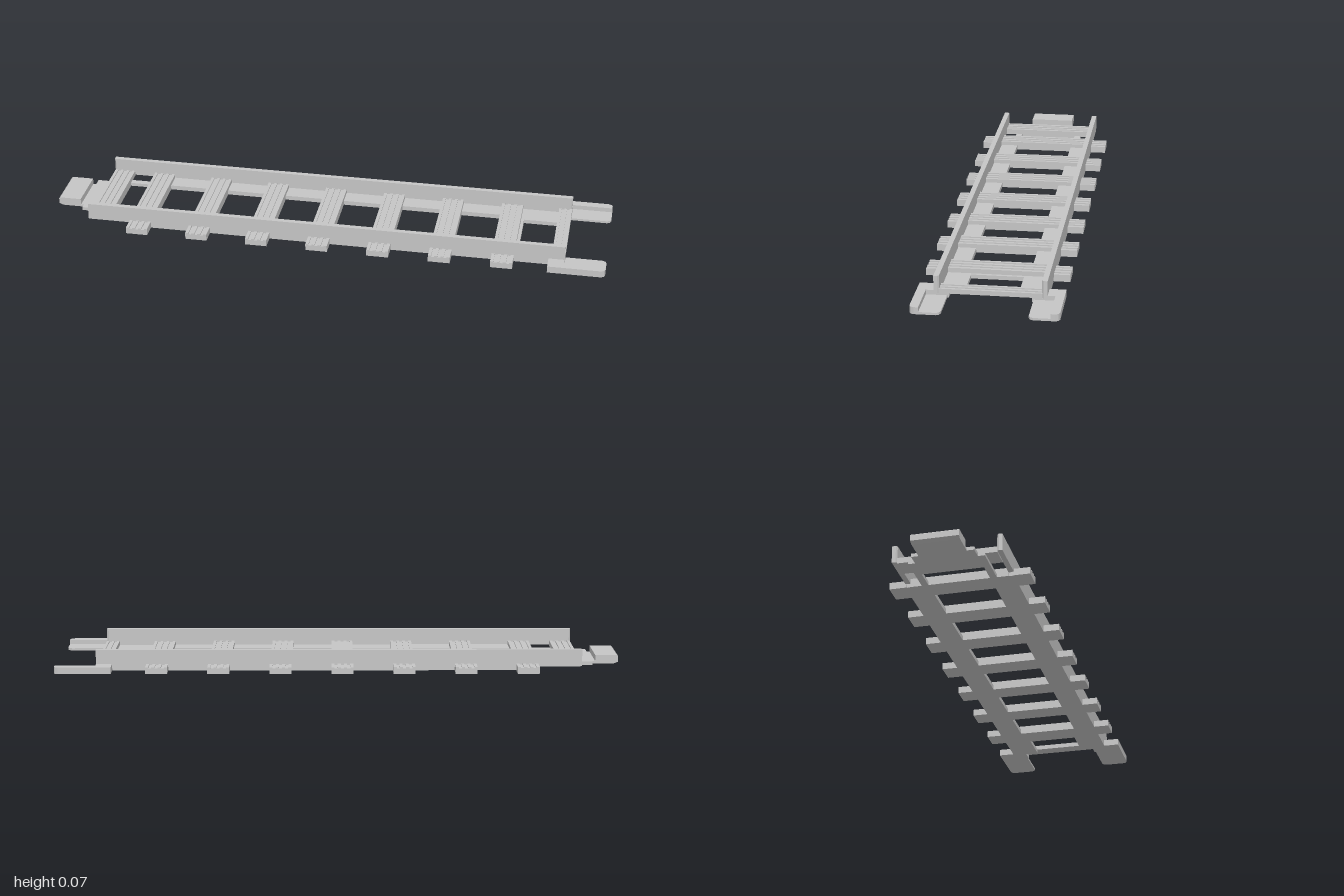
import * as THREE from 'three';

export function createModel() {
  const group = new THREE.Group();
  const grey = new THREE.MeshStandardMaterial({ color: 0xc5c5c5 });
  grey.name = 'track grey';

  const add = (name, geometry) => {
    const mesh = new THREE.Mesh(geometry, grey);
    mesh.name = name;
    group.add(mesh);
    return mesh;
  };
  const box = (name, x0, x1, y0, y1, z0, z1) =>
    add(name, new THREE.BoxGeometry(x1 - x0, y1 - y0, z1 - z0)
      .translate((x0 + x1) / 2, (y0 + y1) / 2, (z0 + z1) / 2));
  // Side profile in x-y, extruded from z0 to z1
  const profile = (name, points, z0, z1) => {
    const shape = new THREE.Shape(points.map(([x, y]) => new THREE.Vector2(x, y)));
    return add(name, new THREE.ExtrudeGeometry(shape, { depth: z1 - z0, bevelEnabled: false })
      .translate(0, 0, z0));
  };
  // Plan outline in x-z, extruded from y0 to y1
  const plan = (name, points, y0, y1) => {
    const shape = new THREE.Shape(points.map(([x, z]) => new THREE.Vector2(x, -z)));
    return add(name, new THREE.ExtrudeGeometry(shape, { depth: y1 - y0, bevelEnabled: false })
      .rotateX(-Math.PI / 2).translate(0, y0, 0));
  };
  // Bar across the track with square grooves running along its top
  const ribbed = (name, x0, x1, y0, y1, z0, z1, grooves = 3) => {
    const points = [[x0, y0], [x1, y0], [x1, y1]];
    const step = (x1 - x0) / (grooves * 2 + 1);
    for (let i = 0; i < grooves; i++) {
      const a = x1 - step * (2 * i + 1), b = a - step;
      points.push([a, y1], [a, y1 - 0.004], [b, y1 - 0.004], [b, y1]);
    }
    points.push([x0, y1]);
    profile(name, points, z0, z1);
  };

  // Seven sleepers, higher between the rails than outside them
  for (let i = 0; i < 7; i++) {
    const x = -0.664 + i * 0.2175;
    ribbed('sleeper', x - 0.0385, x + 0.0385, 0, 0.03, -0.168, 0.168);
    for (const s of [-1, 1]) {
      const z = [s * 0.18, s * 0.24].sort((a, b) => a - b);
      ribbed('sleeperEnd', x - 0.0385, x + 0.0385, 0, 0.024, z[0], z[1]);
    }
  }

  // Bars closing both ends between the rails
  ribbed('tongueEndBar', -0.855, -0.78, 0.01, 0.03, -0.168, 0.168);
  ribbed('socketEndBar', 0.81, 0.857, 0.014, 0.03, -0.168, 0.168, 2);
  box('socketStop', 0.67, 0.69, 0, 0.014, -0.168, 0.168);

  for (const s of [-1, 1]) {
    const span = (name, x0, x1, y0, y1, a, b) =>
      box(name, x0, x1, y0, y1, Math.min(s * a, s * b), Math.max(s * a, s * b));
    const mirrored = (name, points, y0, y1) =>
      plan(name, points.map(([x, z]) => [x, s * z]), y0, y1);

    // Rail wall with chamfered inner corners, raised at the tongue end
    mirrored('rail', [[-0.857, 0.185], [0.857, 0.185], [0.857, 0.172], [0.852, 0.167],
      [-0.852, 0.167], [-0.857, 0.172]], 0.014, 0.074);
    span('railBase', -0.70, 0.857, 0, 0.014, 0.167, 0.185);

    // Floor strip beside the rail
    span('floorStrip', -0.70, 0.67, 0, 0.016, 0.105, 0.168);
    span('socketFloor', 0.69, 0.81, 0, 0.014, 0.088, 0.168);
    span('socketCheek', 0.81, 0.857, 0, 0.014, 0.135, 0.168);
    span('tongueArm', -0.86, -0.70, 0, 0.012, 0.105, 0.128);

    // Connecting ear: thin inner plate and raised outer lip with a rounded tip
    mirrored('earPlate', [[0.857, 0.14], [0.985, 0.14], [0.996, 0.145], [1, 0.155],
      [1, 0.21], [0.857, 0.21]], 0, 0.008);
    mirrored('earLip', [[0.857, 0.21], [1, 0.21], [1, 0.225], [0.996, 0.235],
      [0.985, 0.24], [0.8, 0.24], [0.8, 0.185], [0.857, 0.185]], 0, 0.024);
  }

  // Connecting tongue: neck plate and raised hook
  box('tongueNeck', -0.905, -0.78, 0, 0.012, -0.105, 0.105);
  profile('tongueHook', [[-1, 0.006], [-0.985, 0], [-0.9, 0], [-0.9, 0.008],
    [-0.918, 0.008], [-0.918, 0.03], [-0.995, 0.03], [-1, 0.026]], -0.08, 0.08);

  return group;
}
